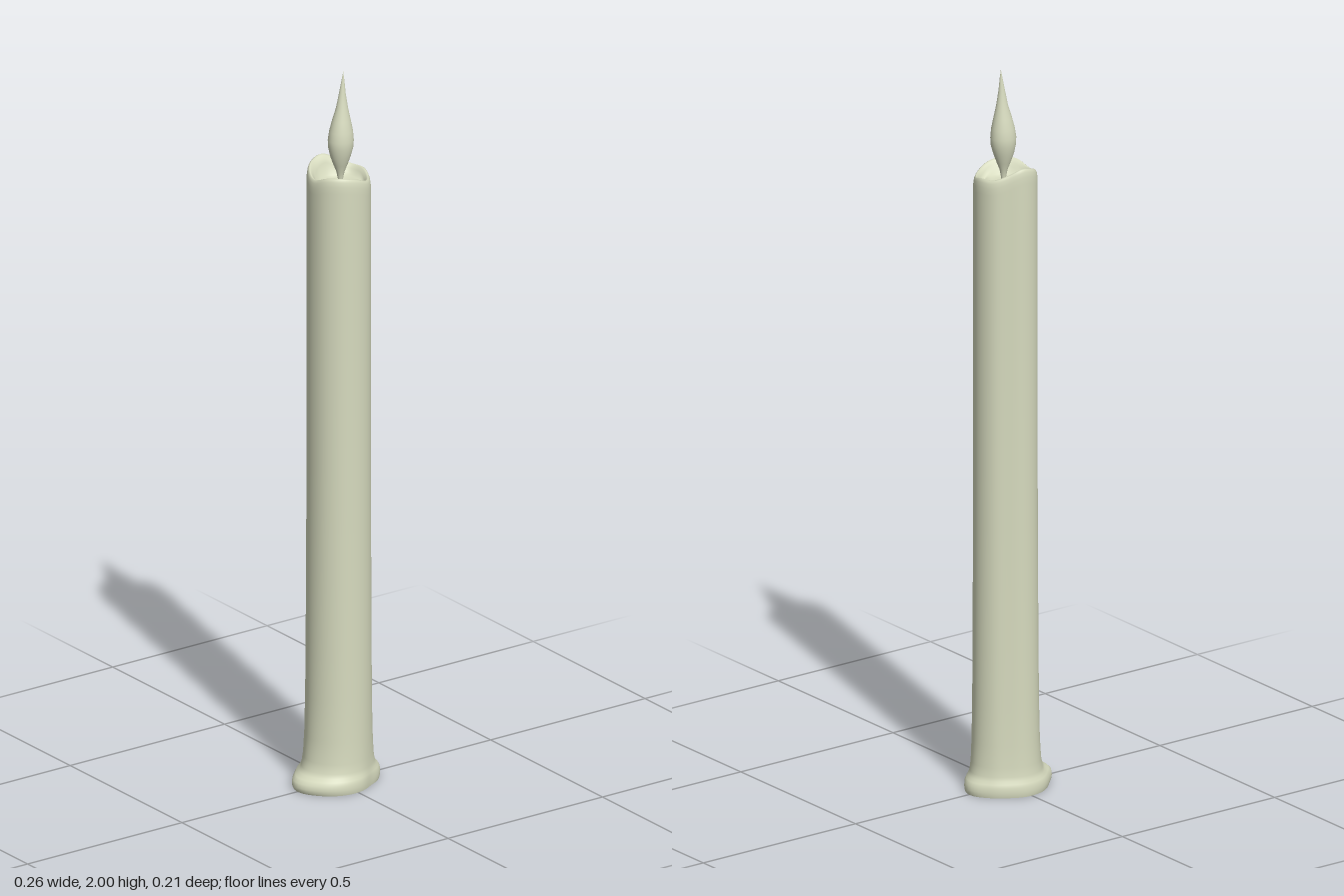
import * as THREE from 'three';

const SEGMENTS = 72;
const CENTRE = { x: 0.012, z: -0.003 };

// Values every 30 degrees, from +x towards +z
const BODY = [0.085, 0.083, 0.084, 0.085, 0.087, 0.086, 0.084, 0.085, 0.089, 0.086, 0.079, 0.084];
const FOOT = [0.119, 0.106, 0.092, 0.101, 0.115, 0.13, 0.144, 0.12, 0.111, 0.104, 0.098, 0.105];
const RIM = [1.713, 1.703, 1.705, 1.72, 1.728, 1.726, 1.712, 1.718, 1.734, 1.744, 1.728, 1.715];

// Smooth periodic interpolation of a table; u runs from 0 to 1
function around(table, u) {
  const n = table.length;
  const s = u * n;
  const i = Math.floor(s);
  const t = s - i;
  const [a, b, c, d] = [-1, 0, 1, 2].map((k) => table[(i + k + n) % n]);
  return b + 0.5 * t * (c - a + t * (2 * a - 5 * b + 4 * c - d + t * (3 * (b - c) + d - a)));
}

// Skin closed rings; pointAt(ring, u) returns [x, y, z]
function loft(rings, pointAt) {
  const positions = [];
  const indices = [];
  rings.forEach((ring, r) => {
    for (let j = 0; j < SEGMENTS; j++) {
      positions.push(...pointAt(ring, j / SEGMENTS));
      if (r === 0) continue;
      const next = (j + 1) % SEGMENTS;
      const a = (r - 1) * SEGMENTS + j;
      const b = (r - 1) * SEGMENTS + next;
      const c = r * SEGMENTS + j;
      const d = r * SEGMENTS + next;
      indices.push(a, c, b, b, c, d);
    }
  });
  const geometry = new THREE.BufferGeometry();
  geometry.setAttribute('position', new THREE.Float32BufferAttribute(positions, 3));
  geometry.setIndex(indices);
  geometry.computeVertexNormals();
  return geometry;
}

function polar(radius, y, u) {
  const angle = u * Math.PI * 2;
  return [CENTRE.x + radius * Math.cos(angle), y, CENTRE.z + radius * Math.sin(angle)];
}

const mix = THREE.MathUtils.lerp;

export function createModel() {
  const group = new THREE.Group();
  group.name = 'candle';
  const wax = new THREE.MeshStandardMaterial({ color: 0xd6dabe });
  wax.name = 'pale wax';

  const add = (name, geometry) => {
    const mesh = new THREE.Mesh(geometry, wax);
    mesh.name = name;
    group.add(mesh);
  };

  // Shaft: [height, share of the spread foot outline]
  const shaft = [
    [0, 0.9], [0.006, 0.97], [0.015, 1], [0.027, 0.96], [0.036, 0.8], [0.044, 0.58], [0.055, 0.43],
    [0.08, 0.31], [0.14, 0.2], [0.25, 0.12], [0.4, 0.08], [0.6, 0.04], [0.9, 0], [1.3, 0], [1.6, 0],
  ].map(([y, spread]) => ({ y, spread, scale: 1 }));
  // Rounded lip following the uneven rim: scale of the outline and drop below the rim
  const lip = [
    [1, 0.04], [0.995, 0.022], [0.975, 0.009], [0.94, 0.002], [0.9, 0],
    [0.85, 0.003], [0.79, 0.011], [0.72, 0.021],
  ].map(([scale, drop]) => ({ scale, drop, spread: 0 }));
  // Melted pool inside the lip
  const pool = [[0.62, 1.689], [0.45, 1.685], [0.2, 1.684], [0, 1.684]]
    .map(([scale, y]) => ({ scale, y, spread: 0 }));

  add('waxBody', loft([...shaft, ...lip, ...pool], (ring, u) => {
    const radius = mix(around(BODY, u), around(FOOT, u), ring.spread) * ring.scale;
    return polar(radius, ring.y ?? around(RIM, u) - ring.drop, u);
  }));

  // Flat underside
  add('underside', loft([0, 0.9], (share, u) =>
    polar(mix(around(BODY, u), around(FOOT, u), 0.9) * share, 0, u)));

  // Wick and flame: [height, radius, sideways lean]
  const flame = [
    [1.68, 0.006, 0.012], [1.7, 0.007, 0.012], [1.72, 0.011, 0.012], [1.74, 0.019, 0.012],
    [1.765, 0.028, 0.012], [1.79, 0.034, 0.013], [1.81, 0.035, 0.013], [1.835, 0.032, 0.014],
    [1.865, 0.025, 0.015], [1.9, 0.016, 0.017], [1.94, 0.009, 0.018], [1.975, 0.004, 0.02], [2, 0, 0.021],
  ];
  add('flame', loft(flame, ([y, radius, lean], u) => {
    const angle = u * Math.PI * 2;
    return [lean + radius * Math.cos(angle), y, 0.002 + radius * 0.94 * Math.sin(angle)];
  }));

  return group;
}
